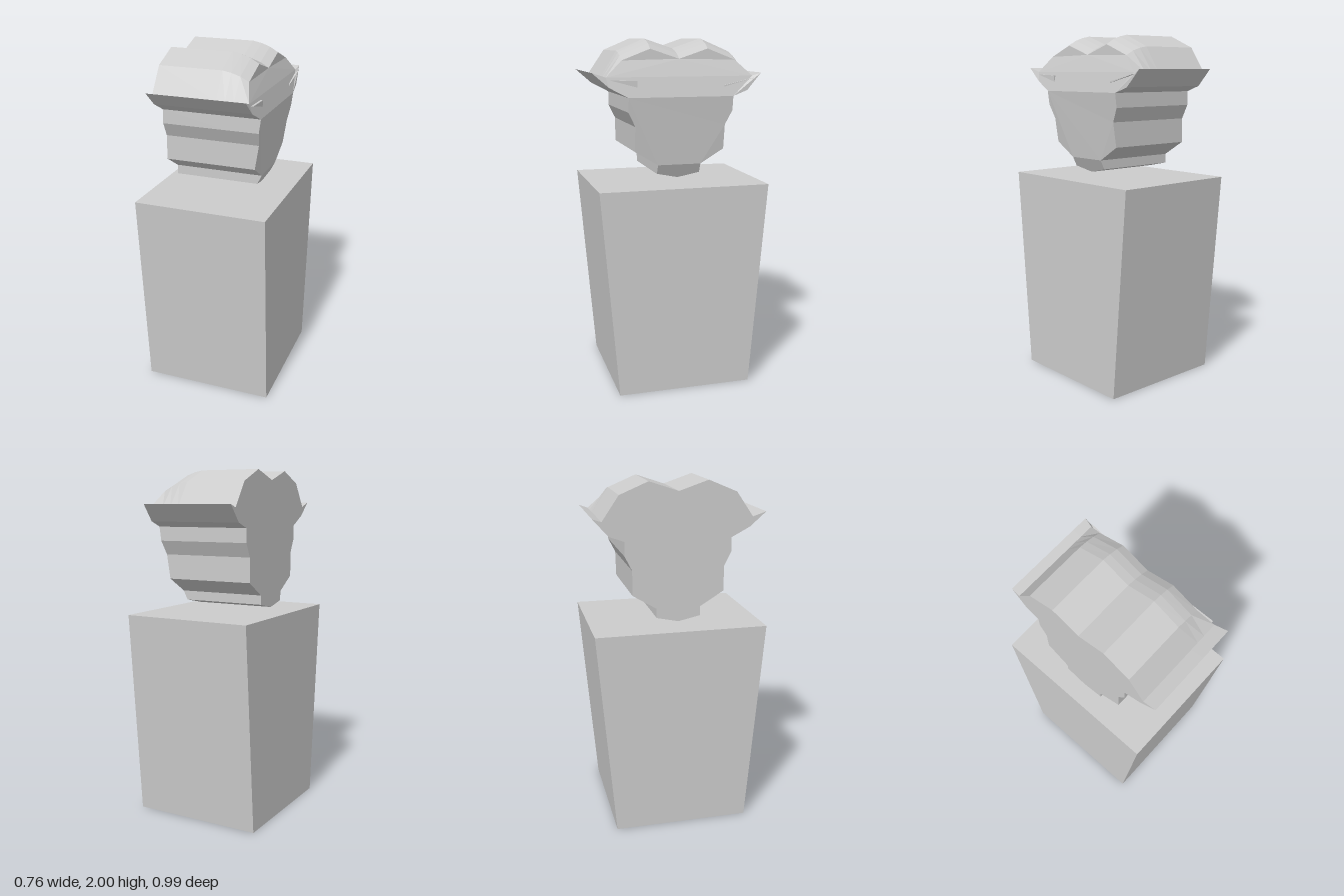
import * as THREE from 'three';

const material = new THREE.MeshStandardMaterial({ color: 0xcccccc, flatShading: true });

// Outline of the head, as [z, y, drop], anticlockwise seen from +x.
// drop is how strongly the point follows the rounded brow.
const lower = [
  [0.3, 1.685, 0], [0.3, 1.605, 0], [0.26, 1.525, 0], [0.26, 1.385, 0],
  [0.125, 1.303, 0], [0.125, 1.25, 0], [0, 1.223, 0],
];
const mirror = (pts) => pts.map(([z, y, d]) => [-z, y, d]).reverse();
const lobe = [[0.165, 2, 1], [0.325, 1.933, 0.9], [0.42, 1.795, 0]];
const outline = [
  [0, 1.945, 1], ...lobe, [0.497, 1.82, 0], [0.405, 1.74, 0],
  ...lower, ...mirror(lower.slice(0, -1)),
  [-0.385, 1.716, 0], [-0.47, 1.812, 0], ...mirror(lobe),
];
const ridgeA = 6, ridgeB = 18; // ends of the crease across the face

// x of the face at a given height
const faceLine = [
  [1.223, 0.2], [1.303, 0.24], [1.385, 0.243], [1.525, 0.265], [1.685, 0.287], [1.945, 0.227],
];
function faceX(y) {
  for (let i = 1; i < faceLine.length; i++) {
    const [y0, x0] = faceLine[i - 1], [y1, x1] = faceLine[i];
    if (y <= y1) return x0 + (x1 - x0) * (y - y0) / (y1 - y0);
  }
  return 0.227;
}

function headGeometry() {
  const sections = [[-0.28, 0], [0.08, 0], [0.13, 0.01], [0.18, 0.027], [null, 0.055]];
  const n = outline.length;
  const positions = [], index = [];
  for (const [x, drop] of sections) {
    for (const [z, py, d] of outline) {
      const y = py - drop * d;
      const tip = Math.abs(z) > 0.45;
      const end = d > 0 ? 0.228 : tip ? 0.271 : faceX(y);
      positions.push(x === null ? end : x, y, z);
    }
  }
  // skin
  for (let s = 0; s < sections.length - 1; s++) {
    for (let i = 0; i < n; i++) {
      const j = (i + 1) % n;
      const a = s * n + i, d = s * n + j, b = a + n, c = d + n;
      index.push(a, d, c, a, c, b);
    }
  }
  // flat back end, and the face folded along its crease
  const cap = (ids, section, flip) => {
    const at = (i) => (section * n + i) * 3;
    const contour = ids.map((i) => new THREE.Vector2(-positions[at(i) + 2], positions[at(i) + 1]));
    for (const [a, b, c] of THREE.ShapeUtils.triangulateShape(contour, [])) {
      const t = [a, b, c].map((k) => section * n + ids[k]);
      index.push(...(flip ? t.reverse() : t));
    }
  };
  const all = outline.map((_, i) => i);
  cap(all, 0, true);
  cap(all.filter((i) => i <= ridgeA || i >= ridgeB), sections.length - 1, false);
  cap(all.filter((i) => i >= ridgeA && i <= ridgeB), sections.length - 1, false);

  const geometry = new THREE.BufferGeometry();
  geometry.setAttribute('position', new THREE.Float32BufferAttribute(positions, 3));
  geometry.setIndex(index);
  const flat = geometry.toNonIndexed();
  flat.computeVertexNormals();
  return flat;
}

// Tapered block: narrower in depth at the foot
function bodyGeometry() {
  const geometry = new THREE.BoxGeometry(0.76, 1.19, 0.976);
  geometry.translate(0, 0.595, 0);
  const p = geometry.attributes.position;
  for (let i = 0; i < p.count; i++) if (p.getY(i) < 0.5) p.setZ(i, Math.sign(p.getZ(i)) * 0.39);
  geometry.computeVertexNormals();
  return geometry;
}

// Thin wedge on the face, corners as [z, y]
function eyeGeometry(corners) {
  const shape = new THREE.Shape(corners.map(([z, y]) => new THREE.Vector2(-z, y)));
  const geometry = new THREE.ExtrudeGeometry(shape, { depth: 0.022, bevelEnabled: false });
  return geometry.rotateY(Math.PI / 2).translate(0.257, 0, 0);
}

export function createModel() {
  const group = new THREE.Group();
  const add = (name, geometry) => {
    const mesh = new THREE.Mesh(geometry, material);
    mesh.name = name;
    mesh.position.z = -0.005;
    group.add(mesh);
  };
  add('body', bodyGeometry());
  add('head', headGeometry());
  add('frontEye', eyeGeometry([[0.4, 1.78], [0.25, 1.74], [0.25, 1.775]]));
  add('backEye', eyeGeometry([[-0.25, 1.738], [-0.43, 1.785], [-0.25, 1.746]]));
  return group;
}
